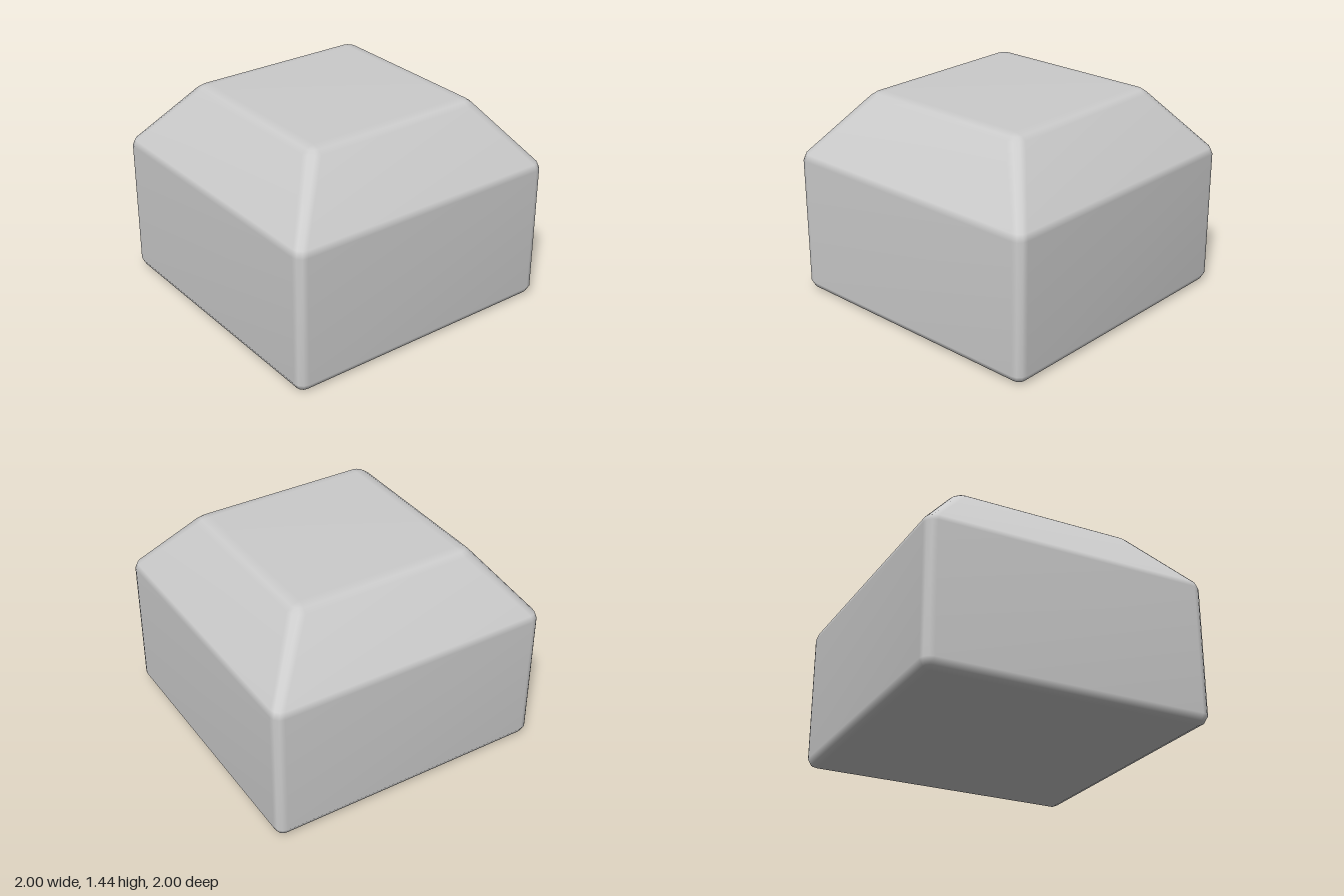
import * as THREE from 'three';
import { mergeVertices } from 'three/addons/utils/BufferGeometryUtils.js';

// Rounded-square cross-sections from bottom to top: [half width, height, corner radius]
const SECTIONS = [
  [0.93, 0, 0],
  [0.975, 0.02, 0.045],
  [1, 0.065, 0.07],
  [1, 0.965, 0.07],
  [0.985, 1.01, 0.065],
  [0.675, 1.405, 0.085],
  [0.64, 1.43, 0.055],
  [0.575, 1.44, 0],
];
const CORNER_STEPS = 3;

// Points around one rounded square
function ring([half, y, radius]) {
  const points = [];
  for (let corner = 0; corner < 4; corner++) {
    const mid = (corner + 0.5) * Math.PI / 2;
    const cx = Math.sign(Math.cos(mid)) * (half - radius);
    const cz = Math.sign(Math.sin(mid)) * (half - radius);
    for (let s = 0; s <= CORNER_STEPS; s++) {
      const a = (corner + s / CORNER_STEPS) * Math.PI / 2;
      points.push(cx + radius * Math.cos(a), y, cz + radius * Math.sin(a));
    }
  }
  return points;
}

// Skin the sections, cap both ends, and share vertices so the bevels shade smoothly
function loft(sections) {
  const n = 4 * (CORNER_STEPS + 1);
  const positions = sections.flatMap(ring);
  const bottom = positions.length / 3;
  const top = bottom + 1;
  positions.push(0, sections[0][1], 0, 0, sections.at(-1)[1], 0);

  const index = [];
  const last = (sections.length - 1) * n;
  for (let j = 0; j < n; j++) {
    const k = (j + 1) % n;
    for (let row = 0; row < last; row += n) {
      index.push(row + j, row + n + j, row + k);
      index.push(row + k, row + n + j, row + n + k);
    }
    index.push(bottom, j, k);
    index.push(top, last + k, last + j);
  }
  const geometry = new THREE.BufferGeometry();
  geometry.setAttribute('position', new THREE.Float32BufferAttribute(positions, 3));
  geometry.setIndex(index);
  const merged = mergeVertices(geometry);
  merged.computeVertexNormals();
  return merged;
}

export function createModel() {
  const group = new THREE.Group();
  group.name = 'bevelledBlock';

  // Square block with a sloped, flat-topped upper half
  const body = new THREE.Mesh(loft(SECTIONS), new THREE.MeshStandardMaterial({ color: 0xcccccc }));
  body.name = 'body';
  group.add(body);
  return group;
}
